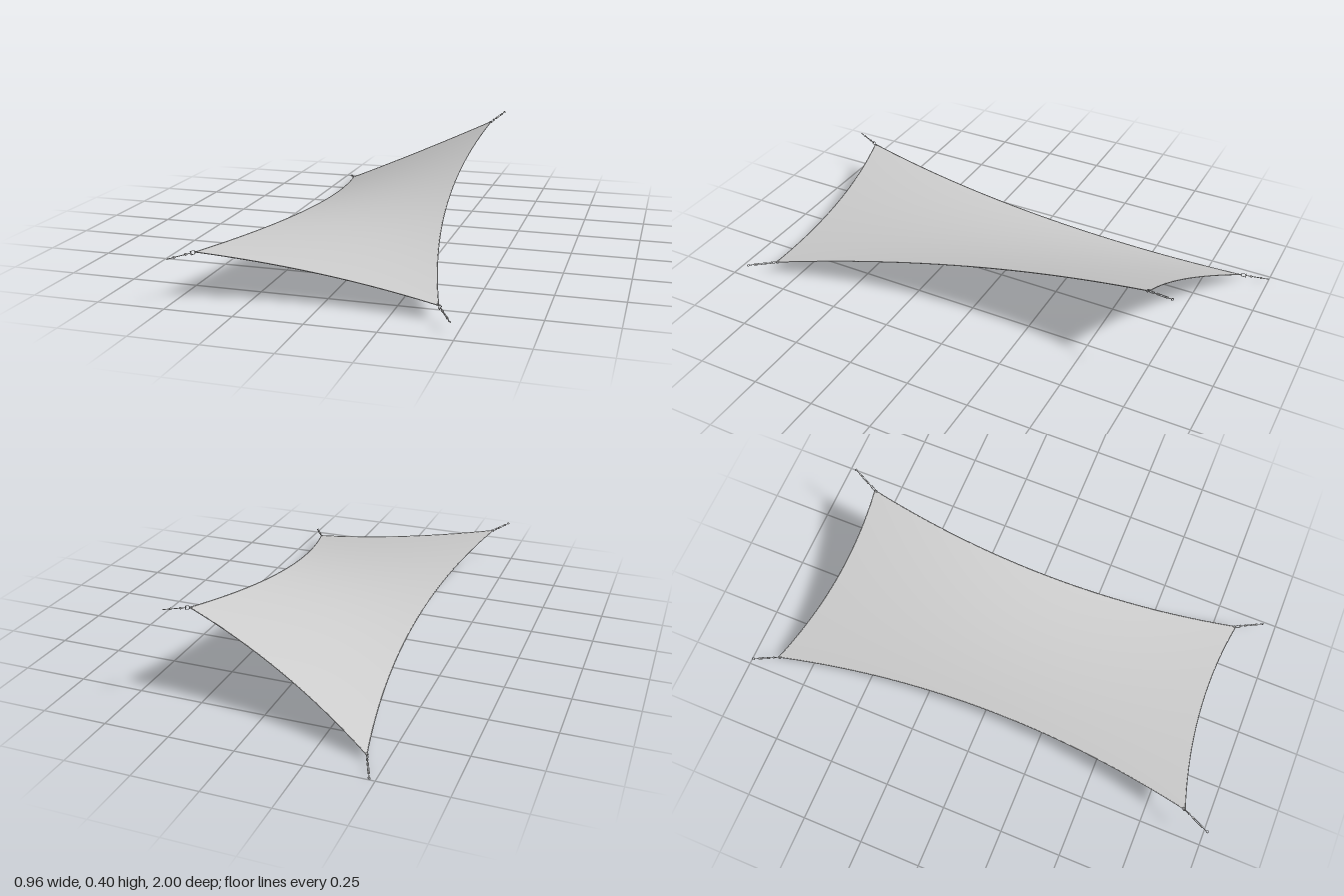
import * as THREE from 'three';

const V = (x, y, z) => new THREE.Vector3(x, y, z);
const grey = new THREE.MeshStandardMaterial({ color: 0xcccccc });
const cloth = new THREE.MeshStandardMaterial({ color: 0xcccccc, side: THREE.DoubleSide });

// Sail corners and the anchor points their fittings pull towards
const corners = {
  backRight: { at: V(-0.435, 0.021, -0.895), tip: V(-0.48, 0.004, -1) },
  backLeft: { at: V(0.285, 0.37, -0.735), tip: V(0.33, 0.4, -0.84) },
  frontLeft: { at: V(0.415, 0.052, 0.842), tip: V(0.477, 0.04, 0.947) },
  frontRight: { at: V(-0.43, 0.176, 0.89), tip: V(-0.48, 0.18, 1) },
};

// Parabolic edge from a to b that passes through mid at its middle
function edge(a, b, mid) {
  const control = mid.clone().multiplyScalar(2).addScaledVector(a, -0.5).addScaledVector(b, -0.5);
  return new THREE.QuadraticBezierCurve3(a, control, b);
}

function mesh(name, geometry, material = grey) {
  const m = new THREE.Mesh(geometry, material);
  m.name = name;
  return m;
}

// Cloth stretched between four curved edges (Coons patch)
function sailGeometry(back, front, right, left) {
  const geo = new THREE.PlaneGeometry(1, 1, 32, 48);
  const pos = geo.attributes.position;
  const uv = geo.attributes.uv;
  const [a, b, d, c] = [back.v0, back.v2, front.v0, front.v2];
  for (let i = 0; i < pos.count; i++) {
    const u = uv.getX(i), v = 1 - uv.getY(i);
    const p = V(0, 0, 0)
      .addScaledVector(back.getPoint(u), 1 - v)
      .addScaledVector(front.getPoint(u), v)
      .addScaledVector(right.getPoint(v), 1 - u)
      .addScaledVector(left.getPoint(v), u)
      .addScaledVector(a, -(1 - u) * (1 - v))
      .addScaledVector(b, -u * (1 - v))
      .addScaledVector(d, -(1 - u) * v)
      .addScaledVector(c, -u * v);
    pos.setXYZ(i, p.x, p.y, p.z);
  }
  geo.computeVertexNormals();
  return geo;
}

// Ring, shackle, turnbuckle and end eye, built along +y from the sail corner
function cornerFitting(name, { at, tip }) {
  const g = new THREE.Group();
  g.name = name;
  const length = at.distanceTo(tip);
  const add = (part, geo, x, y, z = 0) => {
    const m = mesh(part, geo);
    m.position.set(x, y, z);
    g.add(m);
    return m;
  };
  const rod = (r, h) => new THREE.CylinderGeometry(r, r, h, 8);

  // Ring through the cloth corner
  add('cornerRing', new THREE.TorusGeometry(0.006, 0.0013, 6, 16), 0, -0.006);

  // U-shaped shackle with its cross pin
  const bow = new THREE.CatmullRomCurve3([
    V(0, 0.018, -0.005), V(0, 0.006, -0.006), V(0, -0.005, 0), V(0, 0.006, 0.006), V(0, 0.018, 0.005),
  ]);
  add('shackleBow', new THREE.TubeGeometry(bow, 20, 0.0013, 6), 0, 0);
  add('shacklePin', rod(0.0014, 0.016), 0, 0.018).rotation.x = Math.PI / 2;

  // Turnbuckle: open body of two bars between collars, with threaded ends
  const y0 = 0.04, y1 = length - 0.032, mid = (y0 + y1) / 2;
  for (const s of [-1, 1]) add('turnbuckleBar', rod(0.0012, y1 - y0), s * 0.003, mid);
  for (const y of [y0, y1]) add('turnbuckleCollar', rod(0.0042, 0.006), 0, y);
  add('innerScrew', rod(0.0014, 0.026), 0, 0.037);
  add('outerScrew', rod(0.0014, 0.034), 0, length - 0.027);
  add('innerEye', new THREE.TorusGeometry(0.0038, 0.0012, 6, 14), 0, 0.0205);
  add('anchorEye', new THREE.TorusGeometry(0.0045, 0.0013, 6, 14), 0, length - 0.0058);

  g.position.copy(at);
  g.quaternion.setFromUnitVectors(V(0, 1, 0), tip.clone().sub(at).normalize());
  return g;
}

export function createModel() {
  const model = new THREE.Group();
  model.name = 'shadeSail';

  const { backRight: a, backLeft: b, frontLeft: c, frontRight: d } = corners;
  const edges = {
    back: edge(a.at, b.at, V(-0.075, 0.196, -0.766)),
    front: edge(d.at, c.at, V(-0.008, 0.114, 0.818)),
    right: edge(a.at, d.at, V(-0.335, 0.106, 0)),
    left: edge(b.at, c.at, V(0.267, 0.204, 0.053)),
  };
  model.add(mesh('sailCloth', sailGeometry(edges.back, edges.front, edges.right, edges.left), cloth));

  // Cable sewn into each edge
  for (const [side, curve] of Object.entries(edges)) {
    model.add(mesh(side + 'EdgeCable', new THREE.TubeGeometry(curve, 48, 0.0016, 6)));
  }

  // Tensioning hardware on each corner
  for (const [name, corner] of Object.entries(corners)) {
    model.add(cornerFitting(name + 'Fitting', corner));
  }
  return model;
}
